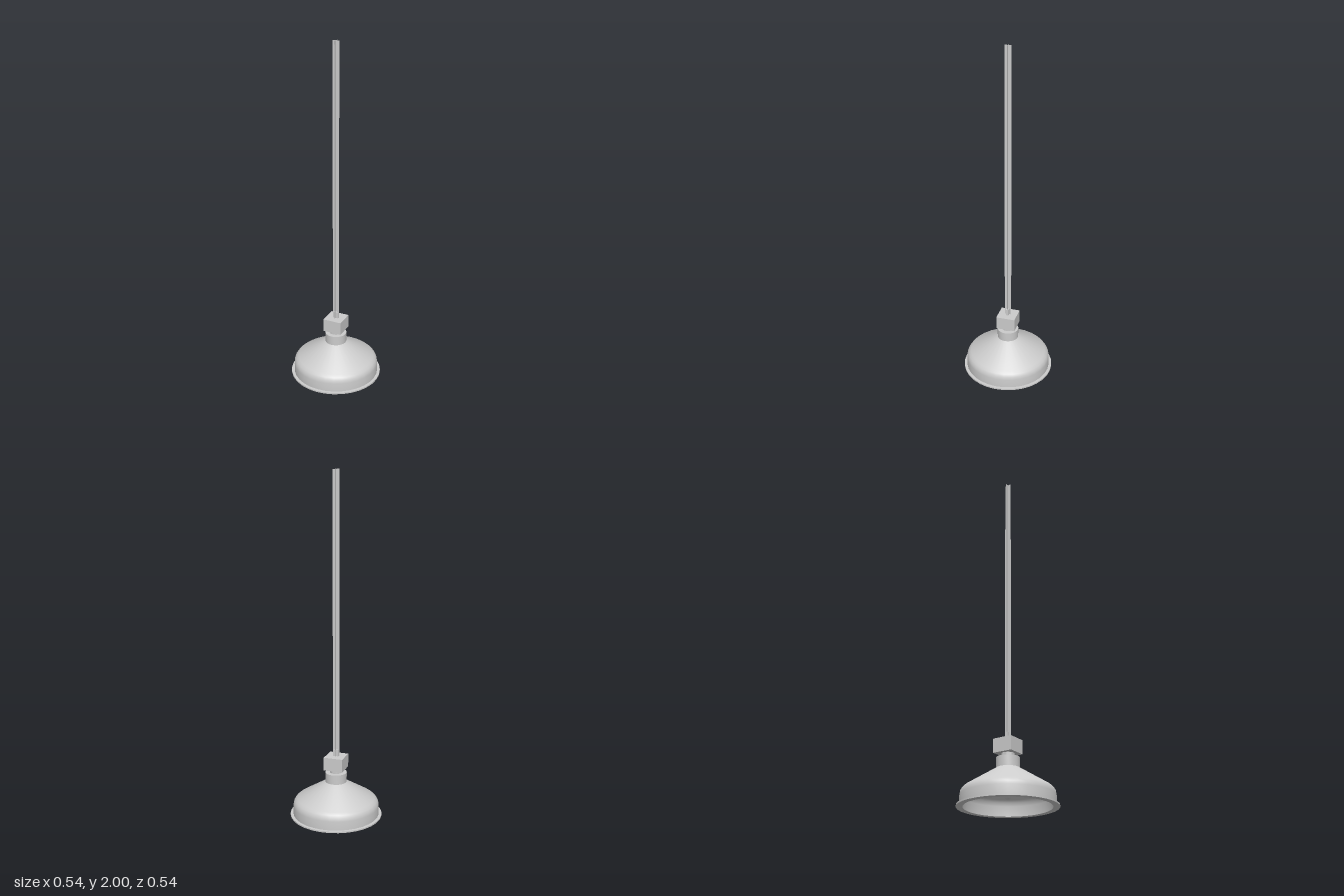
import * as THREE from 'three';
import { toCreasedNormals } from 'three/addons/utils/BufferGeometryUtils.js';

const SIDES = 32;

export function createModel() {
  const lamp = new THREE.Group();
  lamp.name = 'pendantLamp';
  const solid = new THREE.MeshStandardMaterial({ color: 0xcccccc });
  const thin = new THREE.MeshStandardMaterial({ color: 0xcccccc, side: THREE.DoubleSide });

  function add(name, geometry, y = 0, material = solid) {
    const mesh = new THREE.Mesh(geometry, material);
    mesh.name = name;
    mesh.position.y = y;
    lamp.add(mesh);
    return mesh;
  }
  // Lathe with hard edges kept sharp
  function turned(points, crease = 0.6) {
    const profile = points.map(([r, y]) => new THREE.Vector2(r, y));
    return toCreasedNormals(new THREE.LatheGeometry(profile, SIDES), crease);
  }

  // Shade: inner skin down, flat flange, outer skin up
  add('shade', turned([
    [0.05, 0.193], [0.222, 0.088], [0.231, 0.075], [0.235, 0.055], [0.235, 0],
    [0.27, 0], [0.27, 0.008], [0.253, 0.008], [0.253, 0.06], [0.25, 0.078],
    [0.241, 0.093], [0.227, 0.105], [0.062, 0.206],
  ]), 0, thin);

  // Collar and neck above the shade
  add('collar', turned([
    [0, 0.19], [0.063, 0.19], [0.063, 0.262], [0.036, 0.262], [0.036, 0.288], [0, 0.288],
  ]));

  // Bulb hanging inside the shade
  add('bulb', turned([
    [0, 0.04], [0.012, 0.043], [0.023, 0.052], [0.03, 0.066], [0.033, 0.085],
    [0.031, 0.115], [0.024, 0.145], [0.02, 0.195],
  ], 1));

  // Square junction box with its cord clip
  add('junctionBox', new THREE.BoxGeometry(0.113, 0.078, 0.113), 0.323);
  add('cordClip', new THREE.BoxGeometry(0.034, 0.04, 0.016), 0.38);

  // Cord made of two crossed strips
  for (const turn of [0, Math.PI / 2]) {
    const strip = add('cordStrip', new THREE.PlaneGeometry(0.04, 1.64), 1.18, thin);
    strip.rotation.y = turn;
  }
  return lamp;
}
